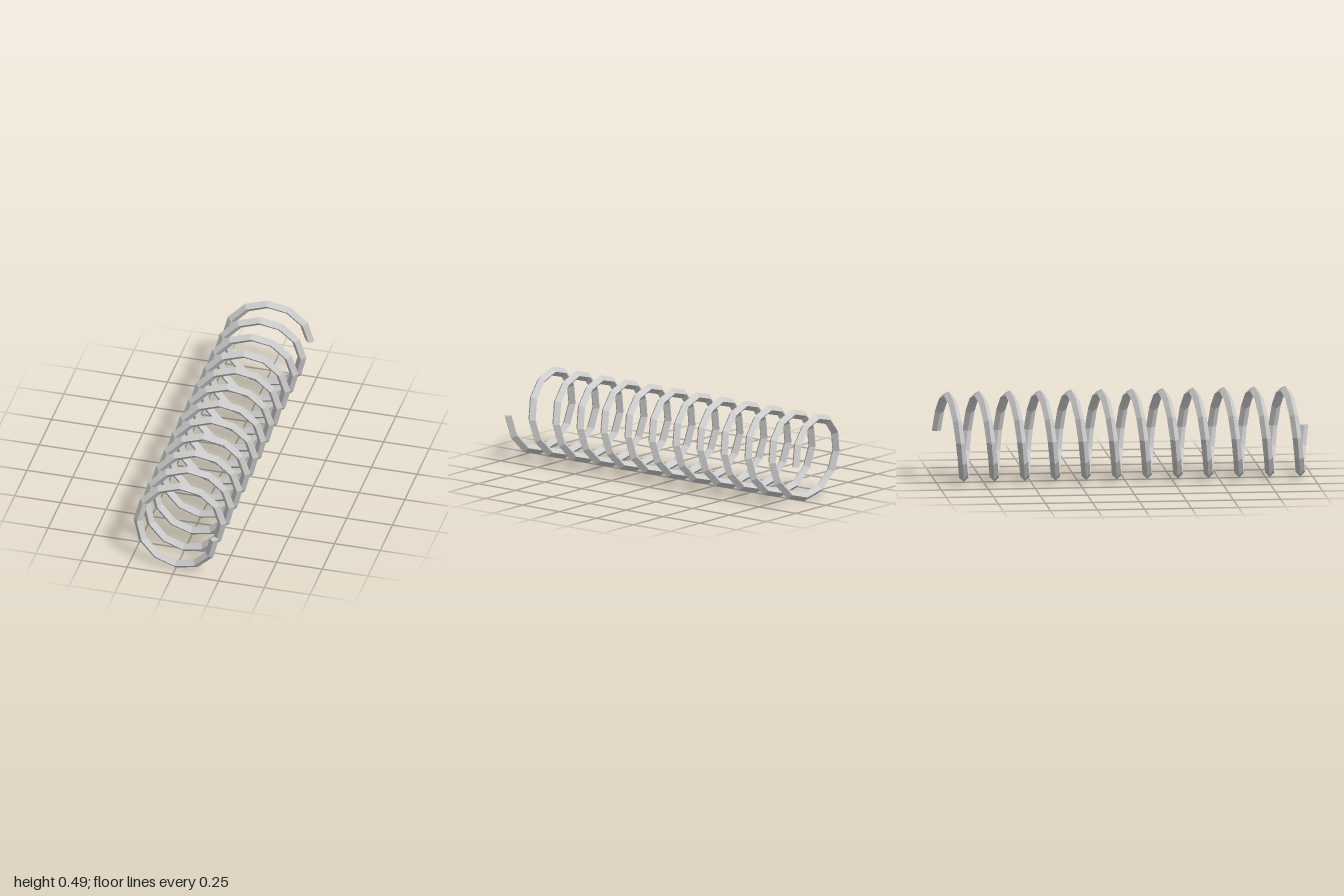
import * as THREE from 'three';

const TURNS = 12;
const STEPS = 12;        // straight segments per turn
const RADIUS = 0.2192;   // centre line of the wire
const WIRE = 0.0243;     // half diagonal of the square wire
const HALF = 1 - WIRE;   // half length of the centre line
const CENTRE_Y = 0.2445;

// Sweeps a diamond section along a faceted helix around the z axis.
function coilGeometry() {
  const section = [[WIRE, 0], [0, WIRE], [-WIRE, 0], [0, -WIRE]]; // radial, axial
  const rings = TURNS * STEPS;
  const positions = [];
  const index = [];

  for (let i = 0; i <= rings; i++) {
    const angle = (i / STEPS) * Math.PI * 2;
    const z = -HALF + (2 * HALF * i) / rings;
    for (const [dr, dz] of section) {
      const r = RADIUS + dr;
      positions.push(r * Math.cos(angle), r * Math.sin(angle), z + dz);
    }
  }

  // Sides of the wire
  for (let i = 0; i < rings; i++) {
    for (let j = 0; j < 4; j++) {
      const a = i * 4 + j;
      const b = i * 4 + ((j + 1) % 4);
      index.push(a, a + 4, b, b, a + 4, b + 4);
    }
  }

  // Flat cut ends
  const e = rings * 4;
  index.push(0, 1, 2, 0, 2, 3);
  index.push(e, e + 2, e + 1, e, e + 3, e + 2);

  const geometry = new THREE.BufferGeometry();
  geometry.setAttribute('position', new THREE.Float32BufferAttribute(positions, 3));
  geometry.setIndex(index);
  const flat = geometry.toNonIndexed();
  flat.computeVertexNormals();
  return flat;
}

export function createModel() {
  const group = new THREE.Group();
  group.name = 'coilSpring';

  const material = new THREE.MeshStandardMaterial({ color: 0xcccccc, flatShading: true });
  const coil = new THREE.Mesh(coilGeometry(), material);
  coil.name = 'coil';
  coil.position.y = CENTRE_Y;
  group.add(coil);

  return group;
}
